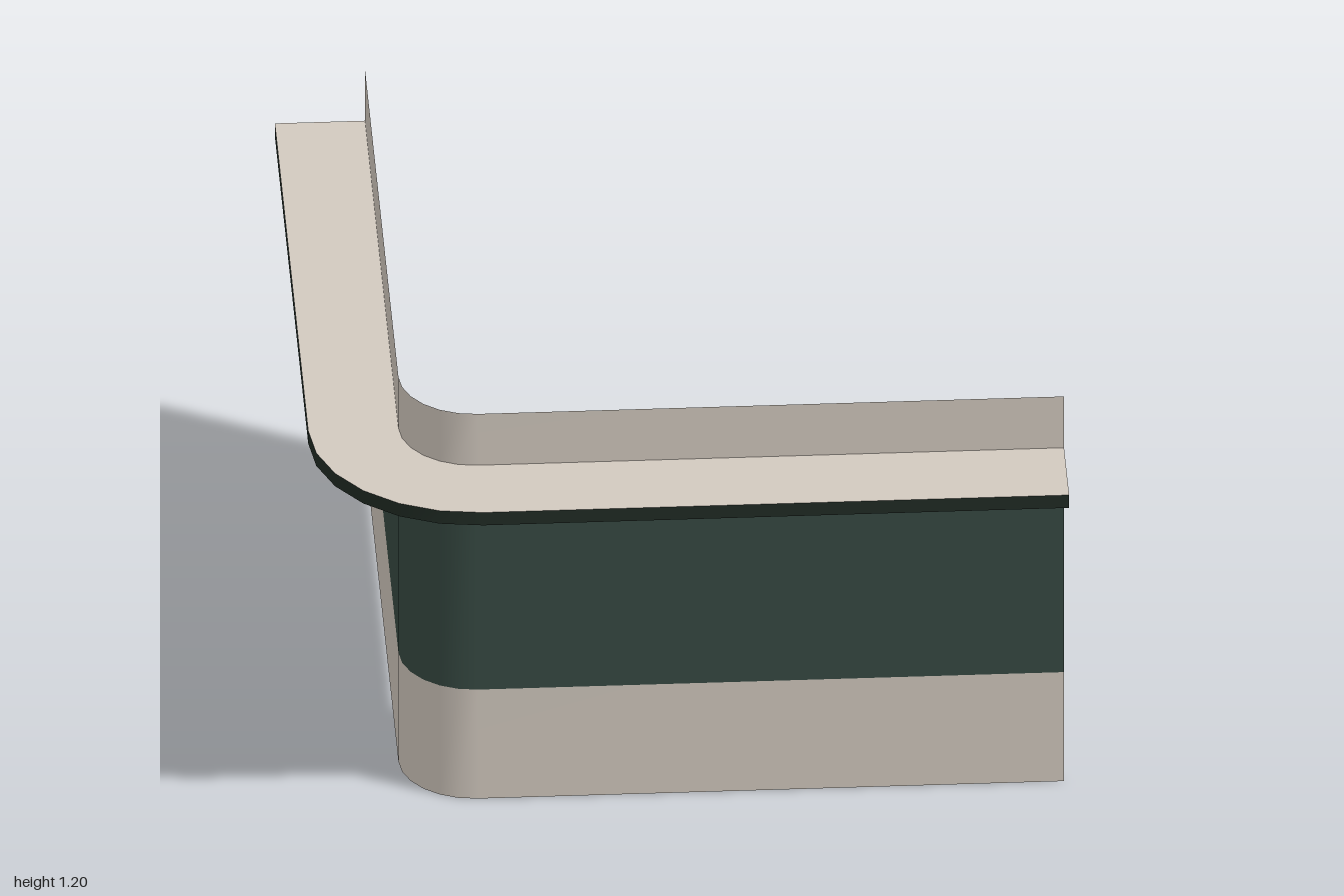
import * as THREE from 'three';

const CORNER = 0.56;   // centre of the rounded corner at (-0.56, 0.56)
const WALL_R = 0.2;    // wall radius at the corner
const EDGE_R = 0.44;   // counter edge radius at the corner
const STEPS = 6;

// L-shaped path at height y: back end, rounded corner, side end
function path(radius, y) {
  const pts = [new THREE.Vector3(-CORNER - radius, y, -1)];
  for (let i = 0; i <= STEPS; i++) {
    const a = (i / STEPS) * Math.PI / 2;
    pts.push(new THREE.Vector3(-CORNER - radius * Math.cos(a), y, CORNER + radius * Math.sin(a)));
  }
  pts.push(new THREE.Vector3(1, y, CORNER + radius));
  return pts;
}

// Smooth ribbon joining two paths
function ribbon(a, b) {
  const n = a.length;
  const index = [];
  for (let i = 0; i < n - 1; i++) {
    index.push(i, i + 1, n + i + 1, i, n + i + 1, n + i);
  }
  const geo = new THREE.BufferGeometry().setFromPoints([...a, ...b]);
  geo.setIndex(index);
  geo.computeVertexNormals();
  return geo;
}

export function createModel() {
  const material = (name, color) => {
    const m = new THREE.MeshStandardMaterial({ color, side: THREE.DoubleSide });
    m.name = name;
    return m;
  };
  const beige = material('beige', 0xd2c9bf);
  const green = material('dark green', 0x374a43);
  const trim = material('blackish green', 0x202b24);

  const group = new THREE.Group();
  group.name = 'cornerCounter';
  const add = (name, mat, a, b) => {
    const mesh = new THREE.Mesh(ribbon(a, b), mat);
    mesh.name = name;
    group.add(mesh);
  };

  // Thin wall in three bands, open between the two counter faces
  add('wallBase', beige, path(WALL_R, 0), path(WALL_R, 0.34));
  add('wallPanel', green, path(WALL_R, 0.34), path(WALL_R, 1));
  add('upperWall', beige, path(WALL_R, 1.04), path(WALL_R, 1.2));

  // Hollow counter around the outside, open at both ends
  add('counterTop', beige, path(EDGE_R, 1.04), path(WALL_R, 1.04));
  add('counterUnderside', beige, path(WALL_R, 1), path(EDGE_R, 1));
  add('counterEdge', trim, path(EDGE_R, 1), path(EDGE_R, 1.04));

  return group;
}
